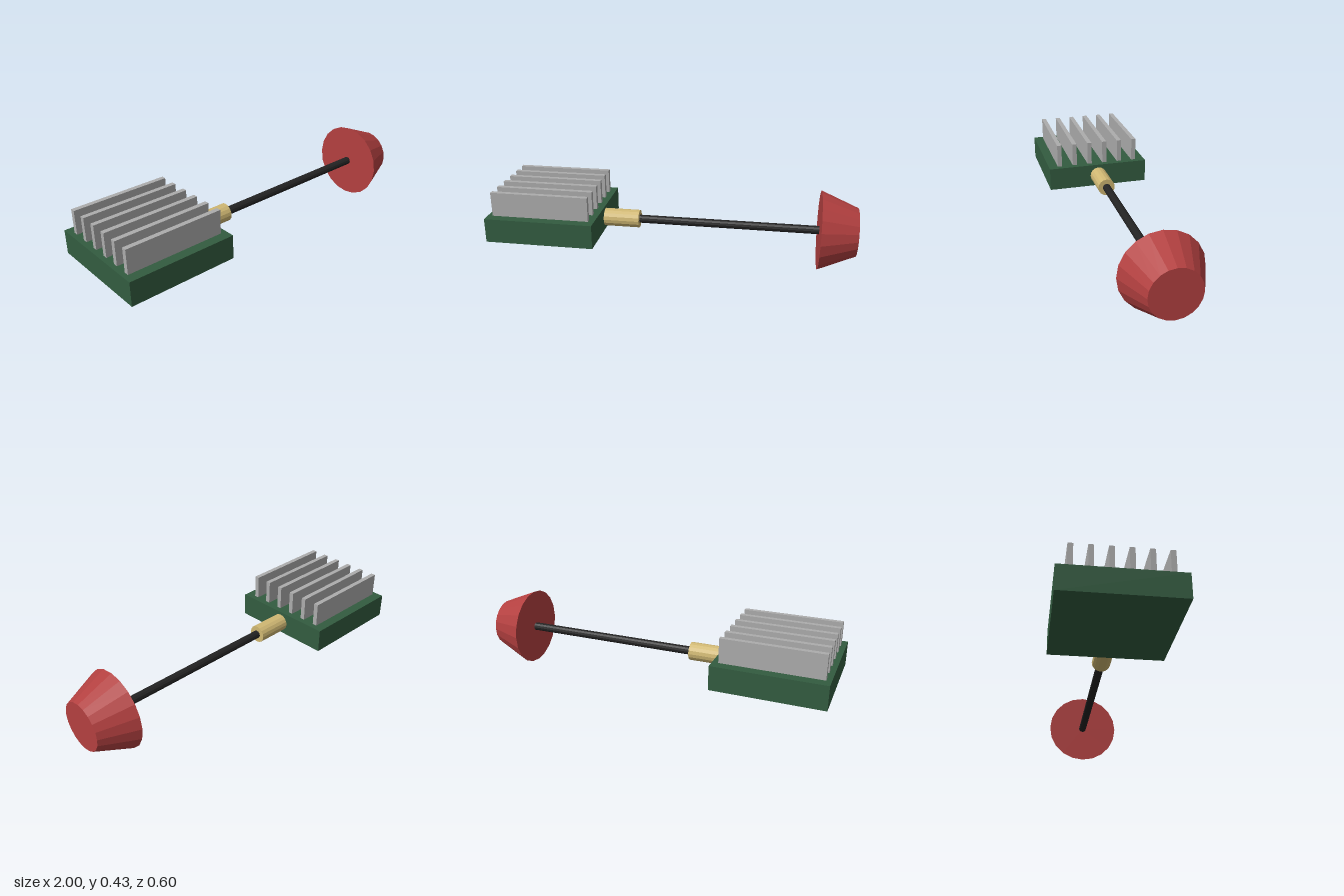
import * as THREE from 'three';

const AXIS_Y = 0.217; // height of the shared axis of connector, rod and cone

function material(name, color) {
  const m = new THREE.MeshStandardMaterial({ color, flatShading: true });
  m.name = name;
  return m;
}

export function createModel() {
  const model = new THREE.Group();
  model.name = 'finnedBoxWithRod';

  const green = material('board green', 0x335c40);
  const grey = material('fin grey', 0xacacac);
  const brass = material('connector brass', 0xd0b873);
  const black = material('rod black', 0x232323);
  const red = material('cone red', 0xb34040);

  function add(name, geometry, mat, x, y, z) {
    const mesh = new THREE.Mesh(geometry, mat);
    mesh.name = name;
    mesh.position.set(x, y, z);
    model.add(mesh);
  }

  // Cylinder lying along x from x0 to x1, with a radius at each end
  function addRound(name, x0, x1, r0, r1, sides, mat) {
    const geometry = new THREE.CylinderGeometry(r1, r0, x1 - x0, sides);
    geometry.rotateZ(-Math.PI / 2);
    add(name, geometry, mat, (x0 + x1) / 2, AXIS_Y, 0);
  }

  // Flat housing
  add('housing', new THREE.BoxGeometry(0.6, 0.134, 0.6), green, -0.7, AXIS_Y, 0);

  // Six cooling fins on top
  const fin = new THREE.BoxGeometry(0.54, 0.134, 0.026);
  for (let i = 0; i < 6; i++) {
    add('coolingFin' + (i + 1), fin, grey, -0.703, 0.351, (i - 2.5) * 0.093);
  }

  // Connector, rod and flared end
  addRound('connector', -0.4, -0.2, 0.05, 0.05, 16, brass);
  addRound('rod', -0.2, 0.8, 0.023, 0.023, 12, black);
  addRound('endCone', 0.8, 1, 0.217, 0.133, 20, red);

  return model;
}
